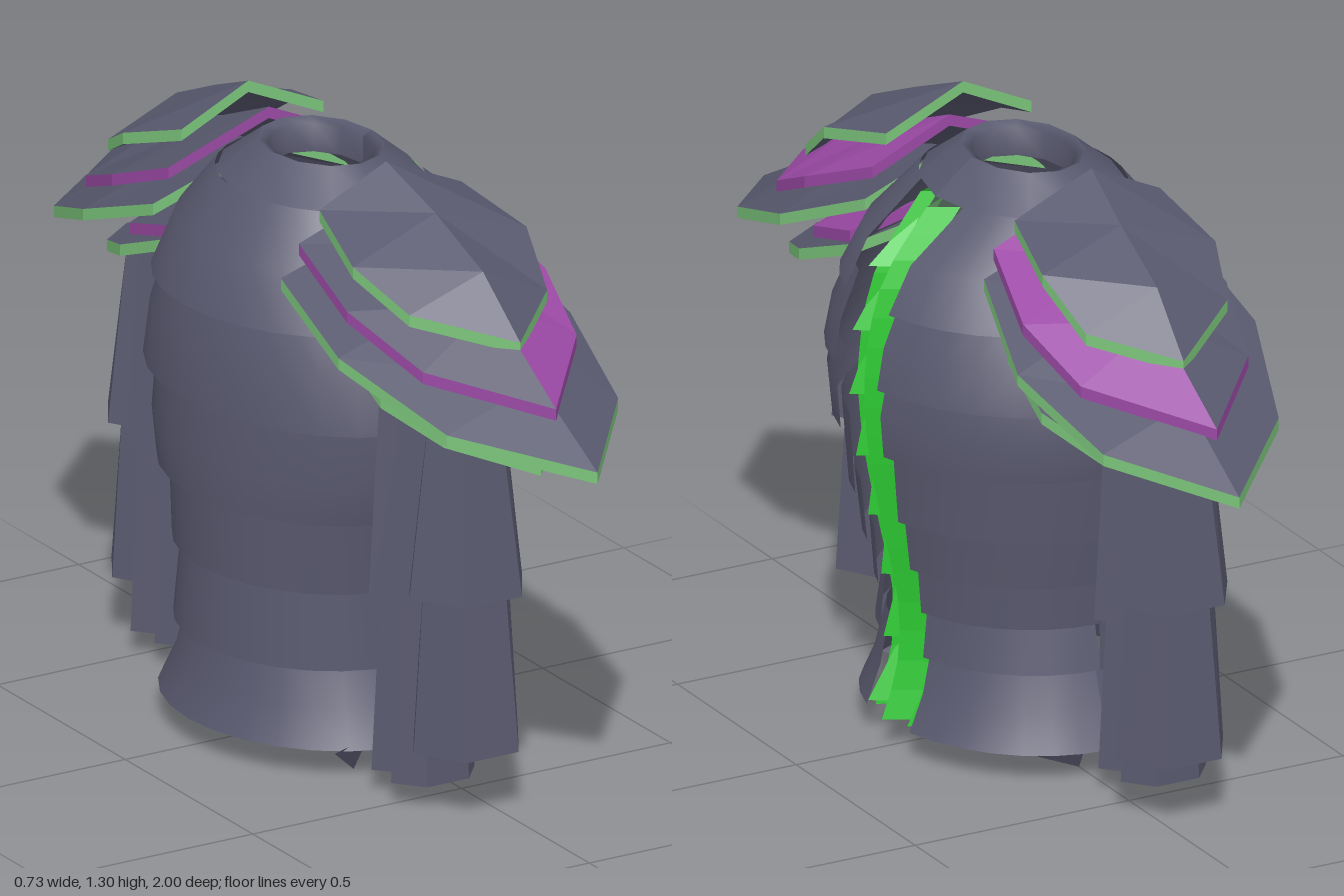
import * as THREE from 'three';

const mat = (name, color) => {
  const m = new THREE.MeshStandardMaterial({ color, side: THREE.DoubleSide });
  m.name = name;
  return m;
};

// Flat-faced geometry from polygons, optionally mirrored in z
const faceted = (faces, s = 1) => {
  const pos = [];
  for (const f of faces) {
    const p = s > 0 ? f : [...f].reverse();
    for (let i = 1; i < p.length - 1; i++)
      for (const v of [p[0], p[i], p[i + 1]]) pos.push(v[0], v[1], v[2] * s);
  }
  const g = new THREE.BufferGeometry();
  g.setAttribute('position', new THREE.Float32BufferAttribute(pos, 3));
  g.computeVertexNormals();
  return g;
};

// Smooth elliptical shell; rows are [y, rx, rz] from top to bottom.
// A gap starts each row at that distance from the centre line.
const shell = (rows, a0, a1, n, gap = 0) => {
  const pos = [], idx = [];
  for (const [y, rx, rz] of rows) {
    const start = a0 + Math.asin(gap / rz);
    for (let i = 0; i <= n; i++) {
      const a = start + (a1 - start) * i / n;
      pos.push(-0.03 + rx * Math.cos(a), y, rz * Math.sin(a));
    }
  }
  for (let j = 0; j < rows.length - 1; j++)
    for (let i = 0; i < n; i++) {
      const a = j * (n + 1) + i, b = a + n + 1;
      idx.push(a, a + 1, b, b, a + 1, b + 1);
    }
  const g = new THREE.BufferGeometry();
  g.setAttribute('position', new THREE.Float32BufferAttribute(pos, 3));
  g.setIndex(idx);
  g.computeVertexNormals();
  return g;
};

// Ridged plate: left, ridge and right points run from the neck to a shared tip
const plate = (L, M, R, tip, s, t = 0.025) => {
  const l = [...L, tip], m = [...M, tip], r = [...R, tip];
  const low = ([x, y, z]) => [x, y - t, z];
  const left = [], right = [], edge = [];
  for (let i = 0; i < l.length - 1; i++) {
    right.push([m[i], m[i + 1], r[i + 1], r[i]]);
    left.push([l[i], l[i + 1], m[i + 1], m[i]]);
  }
  const rim = [...l, ...[...R].reverse(), M[0], L[0]];
  for (let i = 0; i < rim.length - 1; i++)
    edge.push([low(rim[i]), low(rim[i + 1]), rim[i + 1], rim[i]]);
  const under = [...left, ...right].map(f => f.map(low).reverse());
  return [left, right, edge, under].map(f => faceted(f, s));
};

export function createModel() {
  const root = new THREE.Group();
  const steel = mat('slate armour', 0x59596f);
  const purple = mat('purple', 0x9c4aa6);
  const green = mat('bright green', 0x2cc832);
  const paleGreen = mat('pale green', 0x7cc67c);
  const darkGreen = mat('dark green', 0x465a4e);

  const add = (name, geo, material, parent = root) => {
    const m = new THREE.Mesh(geo, material);
    m.name = name;
    parent.add(m);
    return m;
  };

  // Collar ring
  const full = Math.PI * 2, H = Math.PI / 2;
  add('collar', shell([[1.19, 0.205, 0.25], [1.26, 0.12, 0.155]].reverse(), 0, full, 12), steel);
  add('collarRim', shell([[1.19, 0.1, 0.13], [1.25, 0.1, 0.13], [1.26, 0.12, 0.155]], 0, full, 12), steel);

  // Overlapping torso bands, open along the spine on the +x side
  const chestBands = [
    [[1.195, 0.2, 0.25], [1.09, 0.325, 0.33], [0.99, 0.375, 0.38]],
    [[1.02, 0.345, 0.36], [0.92, 0.385, 0.41], [0.83, 0.4, 0.43]],
    [[0.86, 0.375, 0.41], [0.77, 0.392, 0.43], [0.68, 0.385, 0.415]],
    [[0.71, 0.365, 0.395], [0.53, 0.352, 0.375]],
    [[0.56, 0.34, 0.365], [0.42, 0.325, 0.345]],
    [[0.45, 0.31, 0.33], [0.32, 0.3, 0.32]],
    [[0.35, 0.285, 0.295], [0.22, 0.295, 0.325]],
    [[0.25, 0.275, 0.295], [0.14, 0.295, 0.33], [0.06, 0.325, 0.37]],
  ];
  const backBands = [
    [[1.195, 0.205, 0.25], [1.09, 0.29, 0.33], [0.97, 0.335, 0.385]],
    [[1.0, 0.29, 0.36], [0.89, 0.325, 0.41], [0.765, 0.337, 0.43]],
    [[0.79, 0.305, 0.41], [0.65, 0.32, 0.41], [0.555, 0.32, 0.38]],
    [[0.58, 0.29, 0.365], [0.39, 0.295, 0.335]],
    [[0.42, 0.27, 0.32], [0.22, 0.295, 0.325]],
    [[0.25, 0.265, 0.295], [0.14, 0.285, 0.33], [0.06, 0.32, 0.37]],
  ];
  chestBands.forEach((rows, i) => {
    const geo = shell(rows, 0, H, 7, 0.09);
    add('chestBandLeft' + i, geo, steel);
    add('chestBandRight' + i, geo, steel).scale.z = -1;
  });
  backBands.forEach((rows, i) => add('backBand' + i, shell(rows, H, 3 * H, 14), steel));

  // Spine: backing strip, split ridge, side rails and thorns along one curve
  const path = new THREE.CatmullRomCurve3([[0.18, 1.17], [0.285, 1.02], [0.325, 0.83], [0.315, 0.65],
    [0.275, 0.45], [0.245, 0.3], [0.25, 0.17], [0.285, 0.06]].map(([x, y]) => new THREE.Vector3(x, y, 0)));
  const at = (t, [dx, z]) => {
    const p = path.getPointAt(t);
    return [p.x + dx, p.y, z];
  };
  const strip = (a, b, n = 18) => Array.from({ length: n }, (_, i) =>
    [at(i / n, a), at((i + 1) / n, a), at((i + 1) / n, b), at(i / n, b)]);
  add('spineBacking', faceted(strip([-0.05, 0.095], [-0.05, -0.095])), darkGreen);
  for (const s of [1, -1]) {
    const lit = s > 0 ? paleGreen : green;
    add('spineRidge', faceted(strip([-0.045, 0.034], [0.015, 0]), s), lit);
    add('spineRail', faceted([...strip([-0.05, 0.094], [-0.015, 0.08]), ...strip([-0.015, 0.08], [-0.05, 0.066])], s), green);
    const thorns = [];
    for (let i = 0; i < 8; i++) {
      const t = 0.02 + i * 0.12, u = t + 0.13;
      const tip = at(t, [-0.04, 0.075]), base = [[-0.045, 0.093], [0.005, 0.082], [-0.045, 0.05]].map(o => at(u, o));
      for (let k = 0; k < 3; k++) thorns.push([tip, base[k], base[(k + 1) % 3]]);
      thorns.push([base[0], base[2], base[1]]);
    }
    add('spineThorns', faceted(thorns, s), green);
  }

  // Shoulder plates: left, ridge, right, tip, right colour, left colour, edge colour
  const plates = [
    ['topPlate', [[-0.2, 1.23, 0.27], [-0.23, 1.17, 0.45], [-0.18, 1.1, 0.59]],
      [[-0.04, 1.305, 0.27], [-0.02, 1.24, 0.43], [-0.01, 1.165, 0.6]],
      [[0.14, 1.225, 0.27], [0.18, 1.18, 0.46], [0.15, 1.09, 0.59]],
      [0, 1.05, 0.73], steel, steel, paleGreen],
    ['middlePlate', [[-0.24, 1.16, 0.255], [-0.25, 1.08, 0.46], [-0.19, 1.0, 0.66]],
      [[0, 1.245, 0.255], [0, 1.17, 0.43], [0, 1.1, 0.62]],
      [[0.18, 1.165, 0.255], [0.225, 1.08, 0.46], [0.19, 1.0, 0.64]],
      [0, 0.95, 0.87], purple, steel, purple],
    ['widePlate', [[-0.28, 1.09, 0.25], [-0.295, 1.0, 0.5], [-0.2, 0.9, 0.77]],
      [[0, 1.18, 0.25], [0.01, 1.1, 0.5], [0.015, 0.975, 0.77]],
      [[0.2, 1.1, 0.25], [0.26, 0.99, 0.5], [0.21, 0.9, 0.77]],
      [0.02, 0.85, 1.0], steel, steel, paleGreen],
    ['smallPlate', [[-0.18, 0.99, 0.35], [-0.16, 0.93, 0.54]], [[0, 1.04, 0.33], [0, 0.97, 0.53]],
      [[0.18, 0.99, 0.35], [0.16, 0.93, 0.54]], [0, 0.89, 0.69], purple, steel, purple],
    ['lowerPlate', [[-0.19, 0.97, 0.33], [-0.2, 0.9, 0.51], [-0.14, 0.85, 0.66]],
      [[0, 1.0, 0.33], [0, 0.935, 0.51], [0, 0.87, 0.65]],
      [[0.19, 0.97, 0.33], [0.21, 0.9, 0.51], [0.15, 0.85, 0.66]],
      [0, 0.81, 0.81], steel, steel, paleGreen],
  ];

  // Hanging columns: centre x, centre z, then [y, half-width, half-depth] for each flared tube
  const columns = [
    [-0.045, 0.59, [[[0.86, 0.09, 0.06], [0.48, 0.135, 0.11]], [[0.52, 0.1, 0.07], [0.14, 0.125, 0.105]]]],
    [-0.075, 0.51, [[[0.88, 0.08, 0.05], [0.45, 0.11, 0.07]], [[0.48, 0.08, 0.045], [0.05, 0.1, 0.06]]]],
    [-0.07, 0.425, [[[0.88, 0.08, 0.04], [0.38, 0.11, 0.065]], [[0.41, 0.08, 0.04], [0.05, 0.1, 0.055]]]],
  ];

  for (const s of [1, -1]) {
    const shoulder = new THREE.Group();
    shoulder.name = s > 0 ? 'frontShoulder' : 'backShoulder';
    root.add(shoulder);
    for (const [name, L, M, R, tip, rightMat, leftMat, edgeMat] of plates) {
      const geos = plate(L, M, R, tip, s);
      [leftMat, rightMat, edgeMat, steel].forEach((m, i) => add(name, geos[i], m, shoulder));
    }
    for (const [cx, cz, tubes] of columns)
      for (const [top, bottom] of tubes) {
        const ring = ([y, w, d]) => Array.from({ length: 6 }, (_, i) => {
          const a = i * Math.PI / 3;
          return [cx + w * Math.cos(a), y, cz + d * Math.sin(a) / Math.sin(Math.PI / 3)];
        });
        const a = ring(top), b = ring(bottom);
        const faces = a.map((p, i) => [p, a[(i + 1) % 6], b[(i + 1) % 6], b[i]]);
        add('hangingColumn', faceted([...faces, b, [...a].reverse()], s), steel, shoulder);
      }
    // Small fangs below the hem
    add('hemFangs', faceted([
      [[-0.2, 0.06, 0.33], [-0.13, 0, 0.29], [-0.12, 0.08, 0.33]],
      [[0, 0.08, 0.33], [0, 0, 0.29], [0.12, 0.06, 0.33]],
    ], s), steel, shoulder);
  }
  return root;
}
